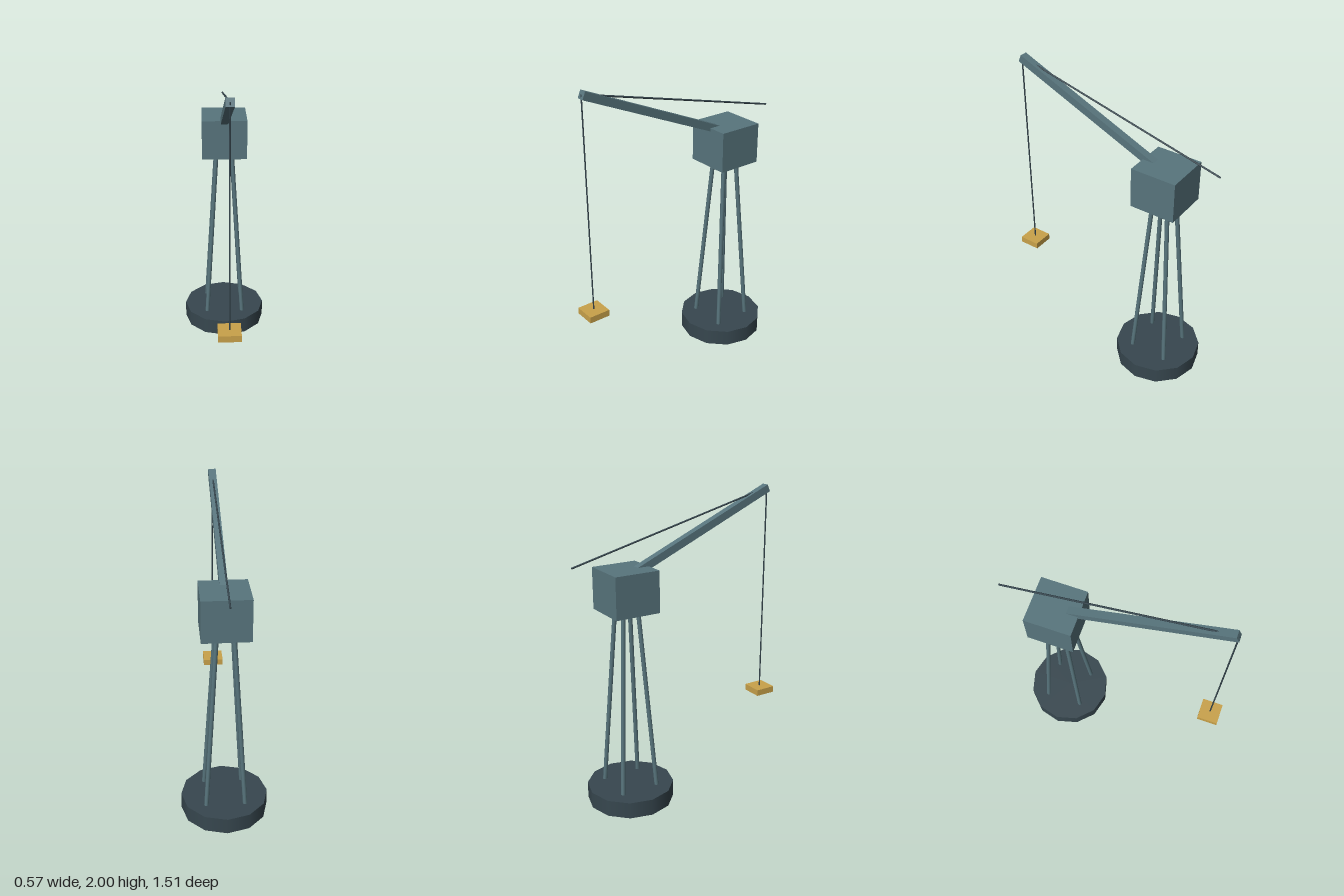
import * as THREE from 'three';

const steel = new THREE.MeshStandardMaterial({ color: 0x58757d });
steel.name = 'blue grey steel';
const dark = new THREE.MeshStandardMaterial({ color: 0x37474f });
dark.name = 'dark slate';
const ochre = new THREE.MeshStandardMaterial({ color: 0xc9a24a });
ochre.name = 'ochre';

const TOWER_Z = -0.395;

function add(parent, name, geometry, material, x = 0, y = 0, z = 0) {
  const mesh = new THREE.Mesh(geometry, material);
  mesh.name = name;
  mesh.position.set(x, y, z);
  parent.add(mesh);
  return mesh;
}

// Round bar running between two points
function bar(parent, name, from, to, radius, sides, material) {
  const a = new THREE.Vector3(...from);
  const b = new THREE.Vector3(...to);
  const dir = b.clone().sub(a);
  const mesh = add(parent, name, new THREE.CylinderGeometry(radius, radius, dir.length(), sides), material);
  mesh.position.copy(a).add(b).multiplyScalar(0.5);
  mesh.quaternion.setFromUnitVectors(new THREE.Vector3(0, 1, 0), dir.normalize());
  return mesh;
}

export function createModel() {
  const crane = new THREE.Group();
  crane.name = 'crane';

  // Tower: round foot, four leaning legs and the cab
  const tower = new THREE.Group();
  tower.name = 'tower';
  tower.position.z = TOWER_Z;
  crane.add(tower);
  add(tower, 'base', new THREE.CylinderGeometry(0.286, 0.286, 0.11, 12), dark, 0, 0.055, 0);
  for (const sx of [-1, 1]) {
    for (const sz of [-1, 1]) {
      bar(tower, 'leg', [sx * 0.128, 0.08, sz * 0.128], [sx * 0.052, 1.32, sz * 0.052], 0.0145, 8, steel);
    }
  }
  add(tower, 'cab', new THREE.BoxGeometry(0.302, 0.268, 0.302), steel, 0, 1.439, 0);

  // Square boom rising from inside the cab to the tip
  const tip = new THREE.Vector3(0, 1.977, 0.68);
  const slope = Math.atan(0.431);
  const length = 1.14;
  const boom = add(crane, 'boom', new THREE.BoxGeometry(0.05, 0.05, length), steel);
  boom.rotation.x = -slope;
  boom.position.set(0, tip.y - Math.sin(slope) * length / 2, tip.z - Math.cos(slope) * length / 2);

  // Stay bar reaching back over the cab
  bar(crane, 'stay', [0, 1.622, -0.753], [0, 1.951, 0.57], 0.006, 6, dark);

  // Hoist rope and hanging load
  bar(crane, 'rope', [0, 0.55, 0.682], [0, 1.978, 0.682], 0.005, 6, dark);
  add(crane, 'load', new THREE.BoxGeometry(0.142, 0.043, 0.142), ochre, 0, 0.541, 0.682);

  return crane;
}
